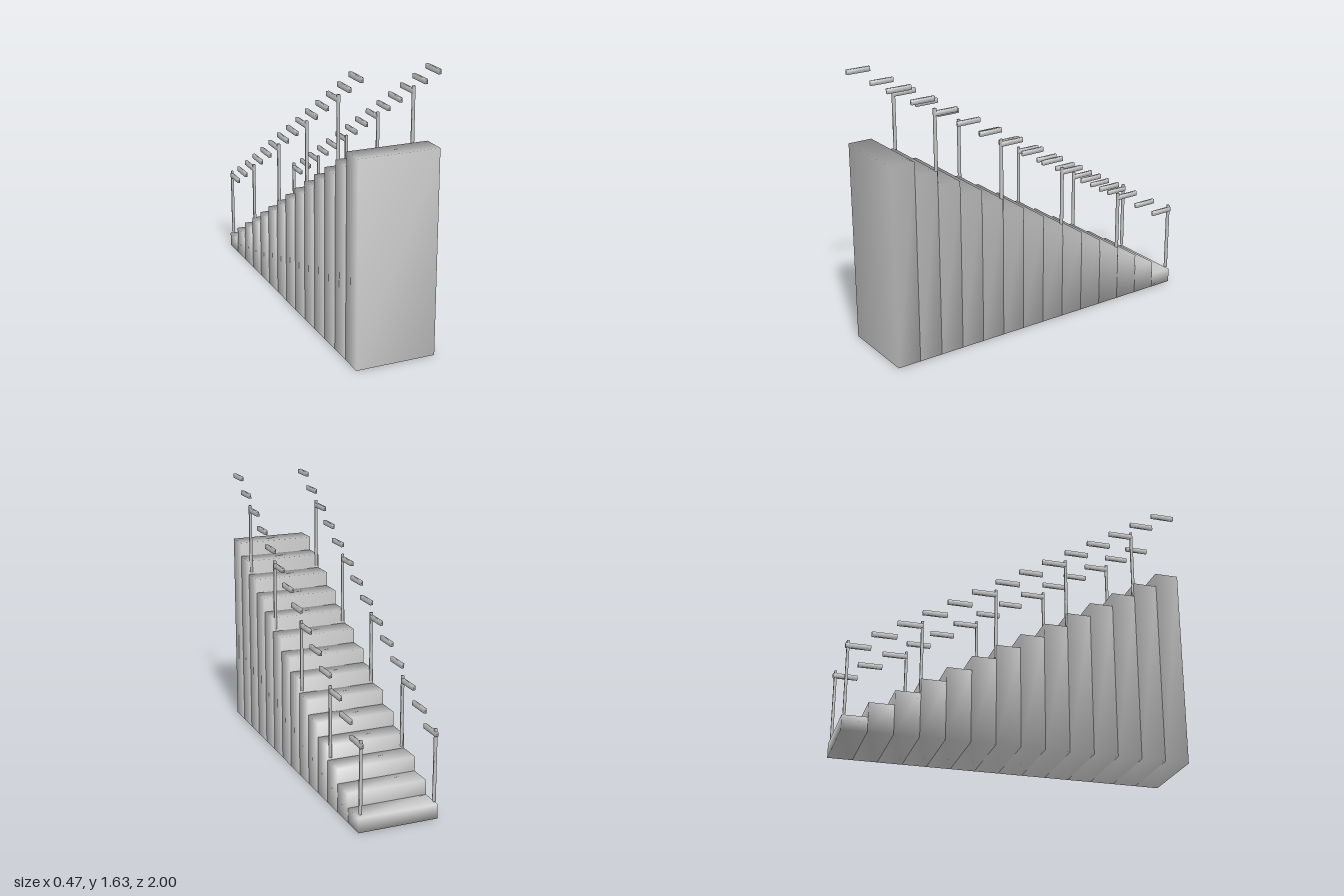
import * as THREE from 'three';
import { mergeVertices } from 'three/addons/utils/BufferGeometryUtils.js';

const STEPS = 14;
const RUN = 2 / STEPS;
const RISE = 1.2 / STEPS;
const WIDTH = 0.475;
const RAIL_X = 0.2215;

// Box with shared corners, so that its shading runs smoothly over the edges
function softBox(w, h, d) {
  const g = new THREE.BoxGeometry(w, h, d);
  g.deleteAttribute('normal');
  g.deleteAttribute('uv');
  const merged = mergeVertices(g);
  merged.computeVertexNormals();
  return merged;
}

export function createModel() {
  const model = new THREE.Group();
  model.name = 'staircase';
  const material = new THREE.MeshStandardMaterial({ color: 0xcccccc });

  function add(name, geometry, x, y, z) {
    const mesh = new THREE.Mesh(geometry, material);
    mesh.name = name;
    mesh.position.set(x, y, z);
    model.add(mesh);
  }

  // Solid steps, lowest at the back, each reaching the ground
  for (let i = 0; i < STEPS; i++) {
    const h = (i + 1) * RISE;
    add('step', softBox(WIDTH, h, RUN), 0, h / 2, -1 + (i + 0.5) * RUN);
  }

  const railGeometry = softBox(0.017, 0.027, RUN);
  const postGeometry = softBox(0.015, 0.427, 0.015);

  for (const side of [-1, 1]) {
    const prefix = side > 0 ? 'left' : 'right';
    // One short level handrail piece above every step
    for (let i = 0; i < STEPS; i++) {
      add(prefix + 'Handrail', railGeometry, side * RAIL_X, (i + 1) * RISE + 0.412, -1 + (i + 0.5) * RUN);
    }
    // A post on the lowest step, then one at every third riser
    for (let k = 0; k < 5; k++) {
      const foot = (k === 0 ? 1 : 3 * k) * RISE + 0.0145;
      const z = k === 0 ? -0.985 : -1 + 3 * k * RUN;
      add(prefix + 'Post', postGeometry, side * RAIL_X, foot + 0.2135, z);
    }
  }
  return model;
}
